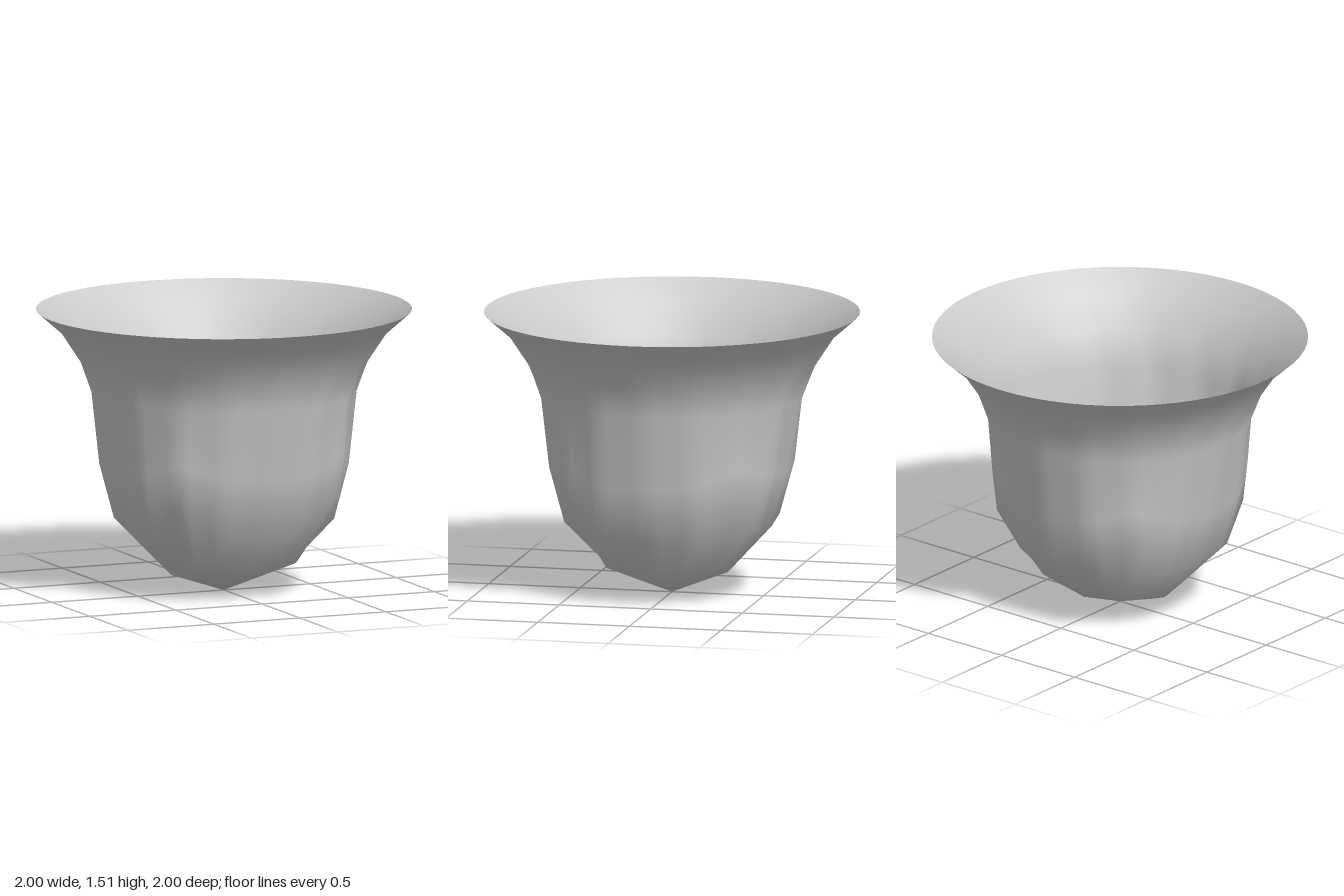
import * as THREE from 'three';

// Each ring: one eighth of its outline, from the side middle to the diagonal corner, as [x, y, z]
const circle = (r, y) => [0, Math.PI / 8, Math.PI / 4].map(a => [r * Math.cos(a), y, r * Math.sin(a)]);
const RINGS = [
  { pts: [[0.305, 0.1, 0], [0.3, 0.13, 0.15], [0.29, 0.16, 0.29]], lift: 0.02 },
  { pts: [[0.545, 0.36, 0], [0.53, 0.385, 0.25], [0.465, 0.54, 0.465]], lift: 0.02 },
  { pts: [[0.645, 0.66, 0], [0.61, 0.68, 0.26], [0.482, 0.76, 0.482]], lift: 0.02 },
  { pts: circle(0.705, 1.07), lift: 0 },
  { round: 0.765, y: 1.24 },
  { round: 0.87, y: 1.4 },
  { round: 1, y: 1.515 },
];
const STEPS = 8;            // steps per eighth
const N = STEPS * 8;        // points per ring

// Point i of a ring, by mirroring its first eighth
function ringPoint(ring, i) {
  const angle = (i / N) * Math.PI * 2;
  if (ring.round) return [ring.round * Math.cos(angle), ring.y, ring.round * Math.sin(angle)];
  const octant = Math.floor(i / STEPS);
  const odd = octant % 2;
  const t = (odd ? STEPS - (i % STEPS) : i % STEPS) / STEPS * 2;
  const k = Math.min(Math.floor(t), 1);
  const [u, y, w] = ring.pts[k].map((v, c) => THREE.MathUtils.lerp(v, ring.pts[k + 1][c], t - k));
  // Turn the eighth into its quarter, mirrored for odd ones
  const turn = (Math.floor((octant + 1) / 2) * Math.PI) / 2;
  const v = odd ? -w : w;
  const x = u * Math.cos(turn) - v * Math.sin(turn);
  const z = u * Math.sin(turn) + v * Math.cos(turn);
  return [x, y + ring.lift * Math.sin(angle) ** 2, z];
}

function cupGeometry() {
  const positions = [0, 0, 0];
  const index = [];
  RINGS.forEach((ring, j) => {
    for (let i = 0; i < N; i++) {
      positions.push(...ringPoint(ring, i));
      const next = (i + 1) % N;
      const a = 1 + j * N + i, b = 1 + j * N + next;
      if (j === 0) index.push(0, a, b);
      else index.push(a - N, a, b - N, a, b, b - N);
    }
  });
  const geometry = new THREE.BufferGeometry();
  geometry.setAttribute('position', new THREE.Float32BufferAttribute(positions, 3));
  geometry.setIndex(index);
  geometry.computeVertexNormals();
  return geometry;
}

export function createModel() {
  const group = new THREE.Group();
  group.name = 'flaredCup';
  // Thin open shell with a faceted base and a flared round rim
  const shell = new THREE.Mesh(
    cupGeometry(),
    new THREE.MeshStandardMaterial({ color: 0xcccccc, side: THREE.DoubleSide })
  );
  shell.name = 'cupShell';
  group.add(shell);
  return group;
}
